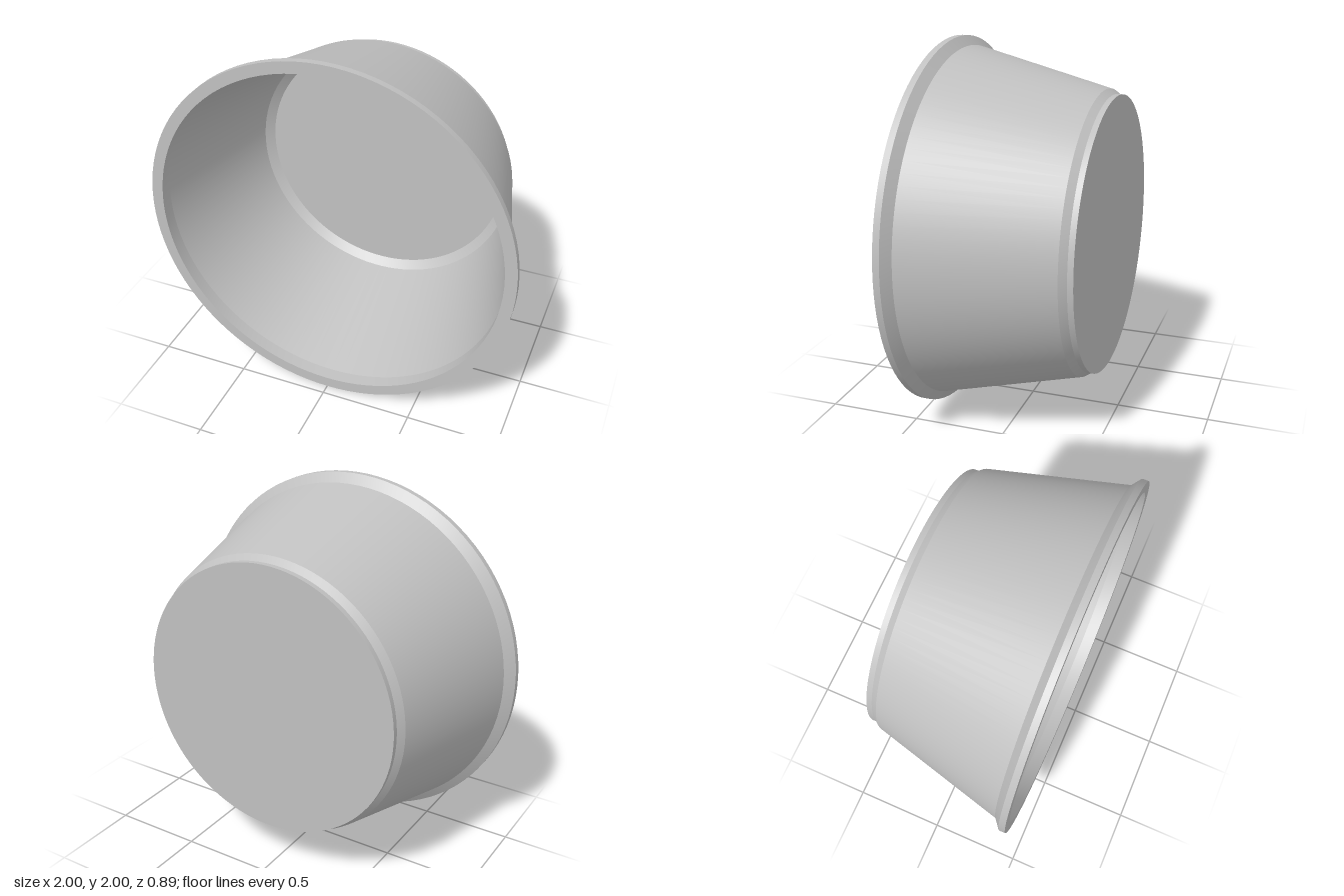
import * as THREE from 'three';
import { toCreasedNormals } from 'three/addons/utils/BufferGeometryUtils.js';

const AXIS_HEIGHT = 1;
const SEGMENTS = 96;

export function createModel() {
  const group = new THREE.Group();
  group.name = 'taperedCup';

  const grey = new THREE.MeshStandardMaterial({ color: 0xc0c0c0 });
  grey.name = 'plain grey';

  // Closed wall section as [radius, z]: outside from back to front, then inside
  const profile = [
    [0, -0.445], [0.735, -0.445], // back face
    [0.735, -0.415], [0.762, -0.378], // stepped foot
    [0.95, 0.37], // tapered wall
    [1, 0.41], [1, 0.445], // flared rim
    [0.938, 0.445], [0.936, 0.375], // mouth
    [0.745, -0.39], [0.7, -0.43], // inner wall and bevel
    [0, -0.43], // floor
  ].map(([r, z]) => new THREE.Vector2(r, z));

  // Turn the section about the z axis, keeping the profile edges crisp
  const shell = toCreasedNormals(new THREE.LatheGeometry(profile, SEGMENTS), 0.2);
  shell.rotateX(Math.PI / 2);
  shell.translate(0, AXIS_HEIGHT, 0);

  const cup = new THREE.Mesh(shell, grey);
  cup.name = 'cupShell';
  group.add(cup);
  return group;
}
